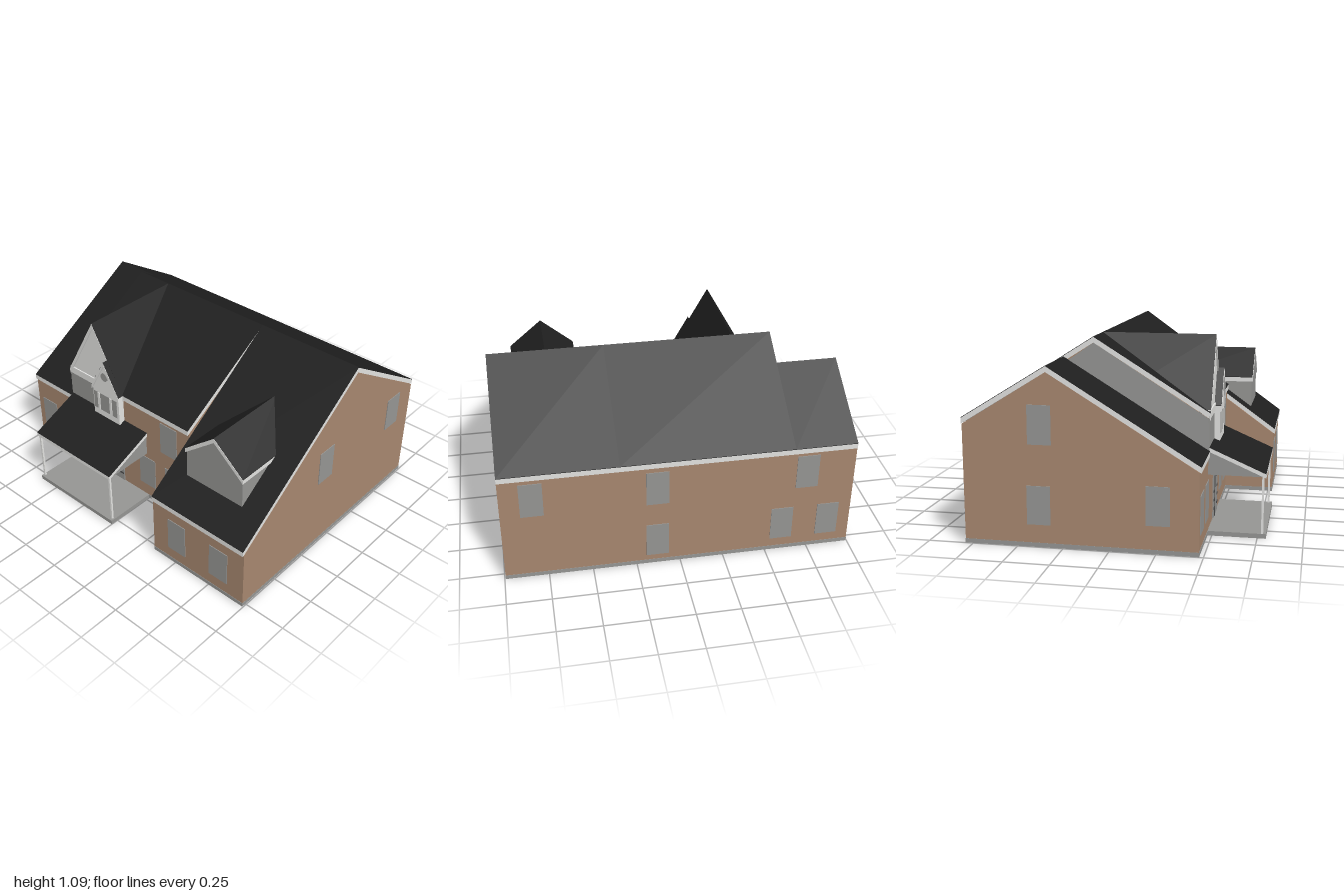
import * as THREE from 'three';

const mat = (name, color) => {
  const m = new THREE.MeshStandardMaterial({ color });
  m.name = name;
  return m;
};

export function createModel() {
  const model = new THREE.Group();
  model.name = 'house';
  const brick = mat('brown brick', 0xa7876f);
  const roofing = mat('black roofing', 0x1f1f1f);
  const trim = mat('white trim', 0xe2e2e0);
  const grey = mat('grey siding and glass', 0x959593);
  const dark = mat('dark grey', 0x4a4a4a);

  const add = (name, geo, material) => {
    const m = new THREE.Mesh(geo, material);
    m.name = name;
    model.add(m);
  };
  // Box given by its limits
  const box = (name, material, x0, x1, y0, y1, z0, z1) =>
    add(name, new THREE.BoxGeometry(x1 - x0, y1 - y0, z1 - z0)
      .translate((x0 + x1) / 2, (y0 + y1) / 2, (z0 + z1) / 2), material);
  const extrude = (pts, depth) => new THREE.ExtrudeGeometry(
    new THREE.Shape(pts.map(p => new THREE.Vector2(...p))), { depth, bevelEnabled: false });
  // Outline in (z, y), swept along x
  const sideways = (name, material, pts, x0, x1) =>
    add(name, extrude(pts, x1 - x0).rotateY(-Math.PI / 2).translate(x1, 0, 0), material);
  // Outline in (x, y), swept along z
  const forward = (name, material, pts, z0, z1) =>
    add(name, extrude(pts, z1 - z0).translate(0, 0, z0), material);
  // Band of vertical thickness between two copies of a line
  const band = (line, top, bottom) => [
    ...line.map(([a, y]) => [a, y - top]),
    ...line.slice().reverse().map(([a, y]) => [a, y - bottom])];

  // Main sections: walls, footing with pale underside, white roof slab and black covering
  const back = -0.793, skin = 0.003, slab = 0.034;
  const footing = [grey, grey, grey, trim, grey, grey];
  const sections = [
    { name: 'leftWing', x0: -0.995, x1: -0.64, zf: 0.485, eave: 0.48, zr: -0.33, ridge: 0.978 },
    { name: 'middle', x0: -0.64, x1: 0.335, zf: 0.485, eave: 0.692, zr: -0.16, ridge: 1.092 },
    { name: 'rightWing', x0: 0.335, x1: 0.994, zf: 0.785, eave: 0.412, zr: -0.16, ridge: 1.092 },
  ];
  for (const s of sections) {
    const line = [[s.zf, s.eave], [s.zr, s.ridge], [back - 0.005, 0.69]];
    sideways(s.name + 'Walls', brick, [[back, 0.01], [s.zf - 0.01, 0.01],
      [s.zf - 0.01, s.eave - slab + 0.004], [s.zr, s.ridge - slab], [back, 0.69 - slab]], s.x0, s.x1);
    box(s.name + 'Footing', footing, s.x0 - 0.001, s.x1 + 0.001, 0, 0.024, back - 0.002, s.zf - 0.008);
    sideways(s.name + 'RoofTrim', trim, band(line, skin, slab), s.x0, s.x1);
    sideways(s.name + 'Roof', roofing, band(line, 0, skin), s.x0, s.x1);
  }

  // Grey siding where the middle rises over the left wing
  sideways('sideSiding', grey, [[-0.33, 0.94], [0.476, 0.45], [0.476, 0.66], [-0.16, 1.058]], -0.643, -0.638);
  box('frontSiding', grey, -0.64, -0.4, 0.45, 0.68, 0.474, 0.481);

  // Gabled wall with a chevron roof, facing front
  const gable = (name, wall, x0, x1, bottom, eave, apexX, apex, z0, z1, t) => {
    const line = [[x0, eave], [apexX, apex], [x1, eave]];
    forward(name + 'Wall', wall, [[x0 + 0.006, bottom], [x1 - 0.006, bottom],
      [x1 - 0.006, eave - t + 0.01], [apexX, apex - t + 0.004], [x0 + 0.006, eave - t + 0.01]], z0, z1 - 0.008);
    forward(name + 'Trim', trim, band(line, skin, t), z0, z1);
    forward(name + 'Roof', roofing, band(line, 0, skin), z0, z1 - 0.002);
  };
  gable('dormer', grey, 0.45, 0.854, 0.45, 0.722, 0.652, 0.89, 0.1, 0.63, 0.03);
  gable('frontGable', trim, -0.638, -0.182, 0.65, 0.69, -0.41, 1.092, -0.155, 0.488, 0.04);
  box('gableSill', trim, -0.632, -0.4, 0.69, 0.706, 0.47, 0.488);
  gable('bay', trim, -0.41, -0.182, 0.488, 0.69, -0.296, 0.89, 0.4, 0.522, 0.03);

  // Bay window with slim columns, and the round window above
  box('bayWindow', grey, -0.397, -0.205, 0.53, 0.65, 0.51, 0.516);
  for (const x of [-0.354, -0.254])
    box('bayColumn', trim, x - 0.009, x + 0.009, 0.53, 0.65, 0.514, 0.52);
  add('roundWindow', new THREE.CylinderGeometry(0.027, 0.027, 0.007, 20)
    .rotateX(Math.PI / 2).translate(-0.296, 0.785, 0.517), grey);

  // Porch: deck, posts and lean-to roof
  box('porchDeck', grey, -0.635, 0, 0, 0.026, 0.478, 0.797);
  for (const x of [-0.625, -0.016])
    box('porchPost', trim, x - 0.006, x + 0.006, 0.026, 0.35, 0.77, 0.782);
  const porchLine = [[0.792, 0.366], [0.47, 0.505]];
  sideways('porchSides', grey, [[0.47, 0.345], [0.78, 0.345], [0.47, 0.48]], -0.628, -0.006);
  sideways('porchRoofTrim', trim, band(porchLine, skin, 0.026), -0.635, 0);
  sideways('porchRoof', roofing, band(porchLine, 0, skin), -0.635, 0);

  // Front door with barred sidelights
  box('door', grey, -0.4, -0.21, 0.026, 0.29, 0.474, 0.481);
  box('doorJamb', dark, -0.352, -0.344, 0.026, 0.29, 0.479, 0.484);
  box('doorJamb', dark, -0.261, -0.255, 0.24, 0.29, 0.479, 0.484);
  for (const x of [-0.378, -0.234]) for (const y of [0.08, 0.132, 0.184])
    box('sidelightBar', dark, x - 0.021, x + 0.021, y - 0.006, y + 0.006, 0.479, 0.484);

  // Windows: [centre along wall, centre height]
  const w = 0.064, h = 0.106;
  const frontWindows = [
    [-0.887, 0.208, 0.475], [-0.675, 0.208, 0.475], [-0.003, 0.21, 0.475], [0.207, 0.21, 0.475],
    [0.176, 0.528, 0.475], [0.513, 0.2, 0.775], [0.818, 0.2, 0.775]];
  for (const [x, y, z] of frontWindows)
    box('frontWindow', grey, x - w, x + w, y - h, y + h, z - 0.002, z + 0.004);
  for (const [x, y] of [[0.82, 0.525], [0.13, 0.52], [-0.72, 0.53], [0.13, 0.165], [-0.59, 0.185], [-0.86, 0.185]])
    box('backWindow', grey, x - w, x + w, y - h, y + h, back - 0.004, back + 0.002);
  for (const [z, y] of [[0.072, 0.562], [-0.6, 0.56]])
    box('rightSideWindow', grey, 0.99, 0.998, y - h, y + h, z - w, z + w);
  for (const [z, y] of [[-0.37, 0.665], [-0.38, 0.23], [0.26, 0.26]])
    box('leftSideWindow', grey, -0.999, -0.99, y - h, y + h, z - w, z + w);

  return model;
}
